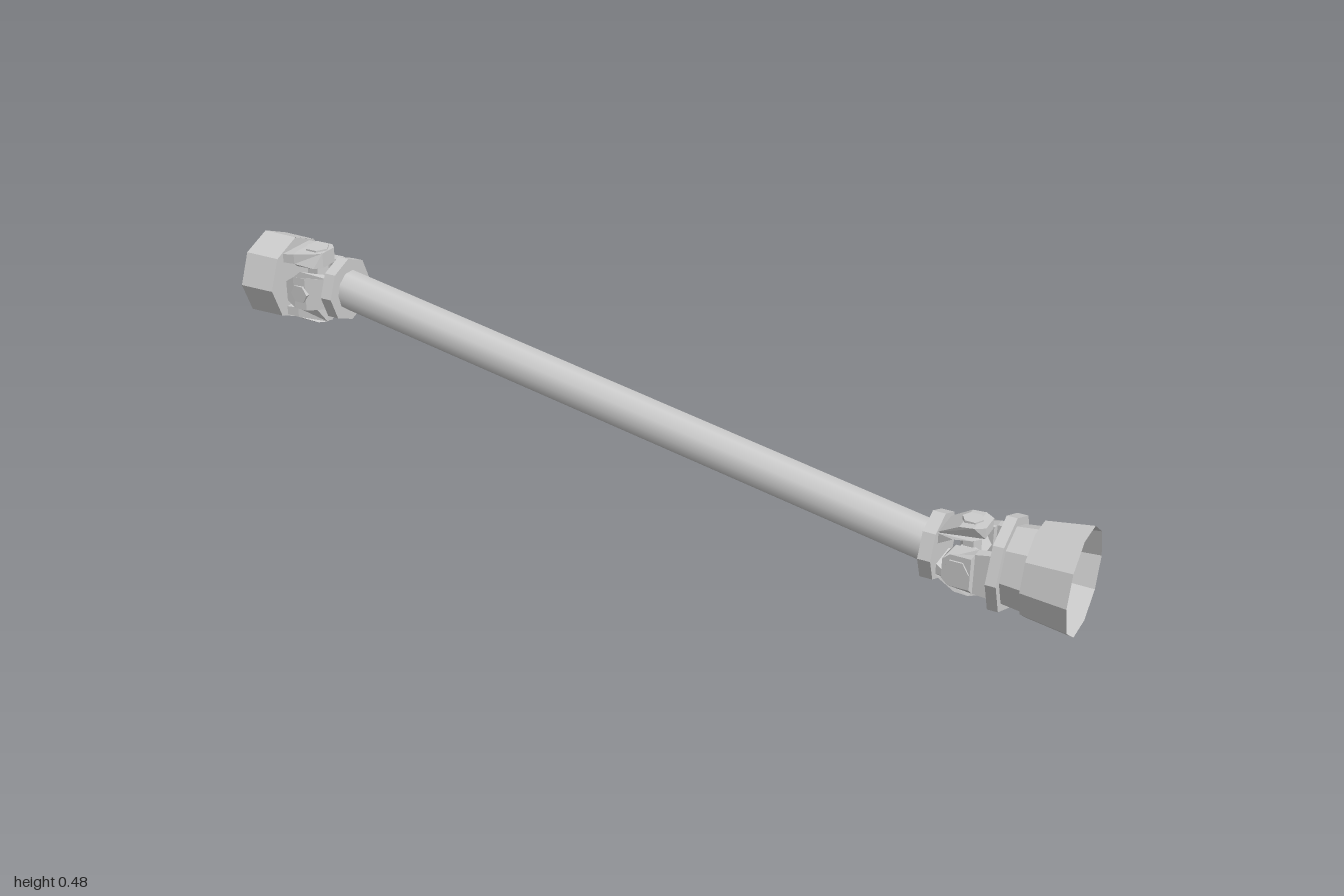
import * as THREE from 'three';

const flat = new THREE.MeshStandardMaterial({ color: 0xcccccc, flatShading: true });
const flatDouble = new THREE.MeshStandardMaterial({ color: 0xcccccc, flatShading: true, side: THREE.DoubleSide });
const smooth = new THREE.MeshStandardMaterial({ color: 0xcccccc });

function add(parent, name, geometry, material = flat) {
  const mesh = new THREE.Mesh(geometry, material);
  mesh.name = name;
  parent.add(mesh);
  return mesh;
}

// Faceted cylinder along x from x0 to x1, radius r0 to r1
function barrel(x0, x1, r0, r1, sides, open = false) {
  const g = new THREE.CylinderGeometry(r1, r0, x1 - x0, sides, 1, open);
  return g.rotateZ(-Math.PI / 2).translate((x0 + x1) / 2, 0, 0);
}

// Yoke arm: side profile of [x, radius, halfWidth], widened per corner
function armGeometry(points) {
  const shape = new THREE.Shape(points.map(([x, r]) => new THREE.Vector2(x, r)));
  const g = new THREE.ExtrudeGeometry(shape, { depth: 2, bevelEnabled: false }).translate(0, 0, -1);
  const p = g.attributes.position;
  for (let i = 0; i < p.count; i++) {
    const c = points.find(([x, r]) => Math.hypot(x - p.getX(i), r - p.getY(i)) < 1e-5);
    p.setZ(i, Math.sign(p.getZ(i)) * c[2]);
  }
  g.computeVertexNormals();
  return g;
}

const hubArm = [
  [-0.07, 0.055, 0.05], [-0.035, 0.055, 0.045], [-0.03, 0.05, 0.042], [0.015, 0.05, 0.04], [0.03, 0.05, 0.022],
  [0.03, 0.085, 0.022], [0.015, 0.085, 0.036], [-0.03, 0.085, 0.036], [-0.035, 0.078, 0.045], [-0.07, 0.075, 0.05],
];
const shaftArm = [
  [0.065, 0.02, 0.036], [0.025, 0.045, 0.042], [-0.015, 0.052, 0.042], [-0.036, 0.054, 0.024],
  [-0.036, 0.078, 0.024], [-0.015, 0.079, 0.038], [0.015, 0.076, 0.04], [0.065, 0.048, 0.036],
];

// Universal joint: hub yoke arms on +-y, shaft yoke arms on +-z
function makeJoint(name) {
  const joint = new THREE.Group();
  joint.name = name;
  for (const side of [0, Math.PI]) {
    add(joint, 'hubYokeArm', armGeometry(hubArm)).rotation.x = side;
    add(joint, 'shaftYokeArm', armGeometry(shaftArm)).rotation.x = side + Math.PI / 2;
  }
  // Crossed pins with six-sided ends
  const pin = () => new THREE.CylinderGeometry(0.028, 0.028, 0.178, 6).rotateY(Math.PI / 6);
  add(joint, 'hubPin', pin());
  add(joint, 'shaftPin', pin().scale(0.8, 0.92, 0.8)).rotation.x = Math.PI / 2;
  add(joint, 'shaftFlange', barrel(0.058, 0.086, 0.075, 0.075, 8));
  return joint;
}

export function createModel() {
  const model = new THREE.Group();
  const left = { x: -0.851, y: 0.381 };
  const right = { x: 0.762, y: 0.113 };

  // Sloping ten-sided tube between the flanges
  const a = new THREE.Vector2(left.x + 0.078, left.y);
  const b = new THREE.Vector2(right.x - 0.078, right.y);
  const length = a.distanceTo(b);
  const tube = add(model, 'shaftTube', barrel(-length / 2, length / 2, 0.046, 0.046, 10), smooth);
  tube.position.set((a.x + b.x) / 2, (a.y + b.y) / 2, 0);
  tube.rotation.z = Math.atan2(b.y - a.y, b.x - a.x);

  // Joints, the second one turned a quarter
  const upper = makeJoint('upperJoint');
  upper.position.set(left.x, left.y, 0);
  const lower = makeJoint('lowerJoint');
  lower.position.set(right.x, right.y, 0);
  lower.rotation.set(Math.PI / 2, Math.PI, 0);
  model.add(upper, lower);

  // Upper hub: eight-sided cup open to the outside
  const upperHub = new THREE.Group();
  upperHub.name = 'upperHub';
  upperHub.position.y = left.y;
  add(upperHub, 'cupWall', barrel(-1, -0.915, 0.101, 0.1, 8, true), flatDouble);
  add(upperHub, 'cupFloor', barrel(-0.922, -0.914, 0.099, 0.099, 8));
  model.add(upperHub);

  // Lower hub: collar, neck and flared ten-sided cup
  const lowerHub = new THREE.Group();
  lowerHub.name = 'lowerHub';
  lowerHub.position.y = right.y;
  add(lowerHub, 'collar', barrel(0.83, 0.853, 0.105, 0.105, 8));
  add(lowerHub, 'neck', barrel(0.85, 0.906, 0.086, 0.093, 8, true), flatDouble);
  add(lowerHub, 'cupWall', barrel(0.9, 1, 0.102, 0.116, 10, true), flatDouble);
  const floor = new THREE.RingGeometry(0.087, 0.102, 10).rotateY(Math.PI / 2).translate(0.9, 0, 0);
  add(lowerHub, 'cupFloor', floor, flatDouble);
  model.add(lowerHub);

  return model;
}
